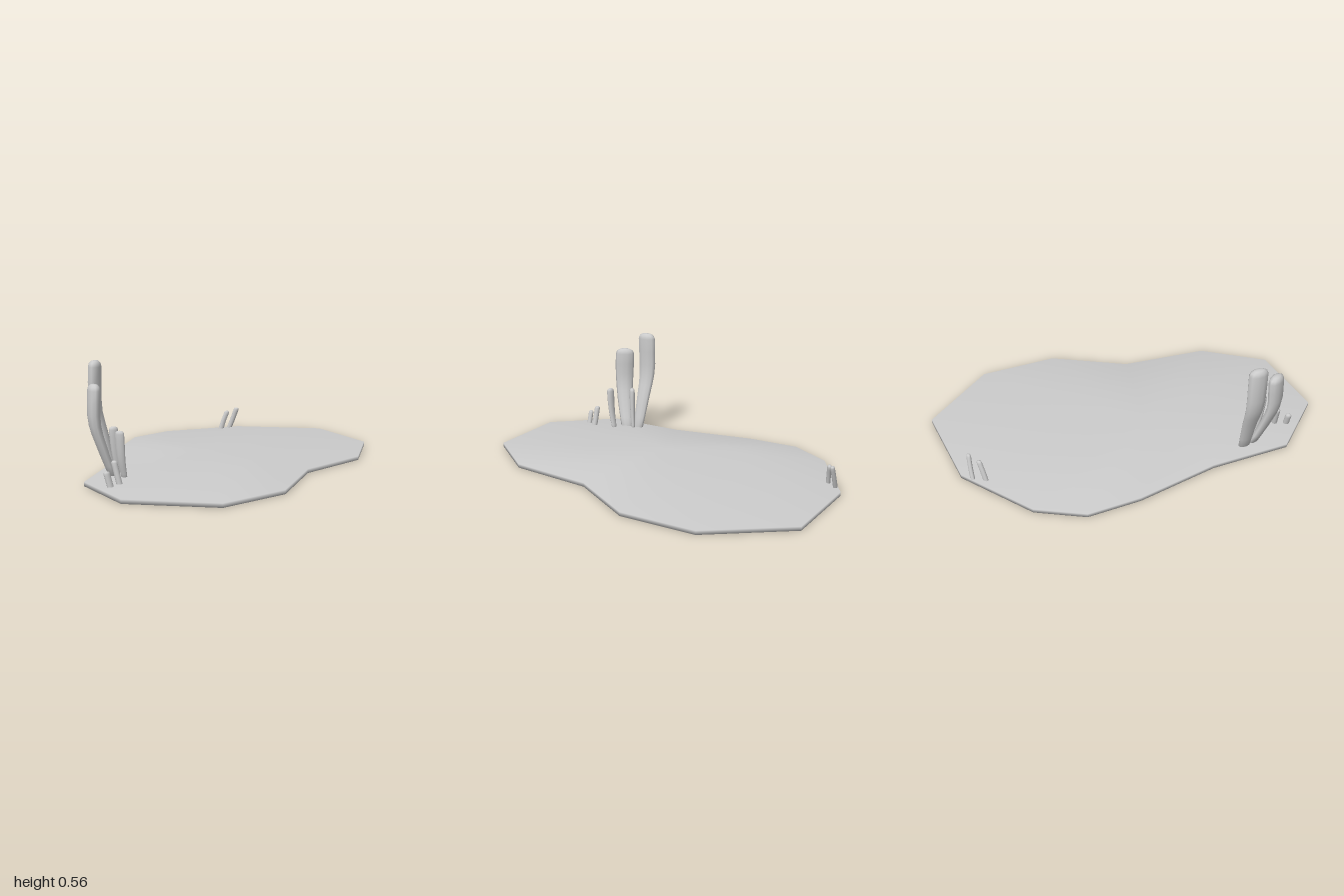
import * as THREE from 'three';

const material = new THREE.MeshStandardMaterial({ color: 0xcccccc, side: THREE.DoubleSide });

// Joins equal-sized closed rings of points, capped by a point at each end, into a smooth skin.
function skin(rings, bottom, top) {
  const n = rings[0].length;
  const points = [...rings.flat(), bottom, top];
  const b = points.length - 2, t = points.length - 1, last = (rings.length - 1) * n;
  const index = [];
  for (let i = 0; i < n; i++) {
    const j = (i + 1) % n;
    index.push(b, i, j, t, last + j, last + i);
    for (let r = 0; r < last; r += n) {
      index.push(r + i, r + n + i, r + j, r + j, r + n + i, r + n + j);
    }
  }
  const geometry = new THREE.BufferGeometry().setFromPoints(points);
  geometry.setIndex(index);
  geometry.computeVertexNormals();
  return geometry;
}

// Low mound with an irregular outline
function createMound() {
  const outline = [
    [1, 0], [0.78, 0.415], [0.41, 0.58], [-0.01, 0.535], [-0.44, 0.68], [-0.8, 0.6], [-1, 0.21],
    [-0.85, -0.145], [-0.47, -0.32], [-0.11, -0.57], [0.14, -0.69], [0.4, -0.665], [0.78, -0.43],
  ];
  const cx = -0.12;
  const ring = (scale, height) => outline.map(([x, z]) => {
    const dx = x - cx;
    const side = z * z / (dx * dx + z * z);
    return new THREE.Vector3(cx + dx * scale, height(side), z * scale);
  });
  const rings = [
    ring(0.5, () => 0),
    ring(1, () => 0),
    ring(1, () => 0.02),
    ring(0.5, (side) => 0.037 + 0.015 * side),
  ];
  const mesh = new THREE.Mesh(
    skin(rings, new THREE.Vector3(cx, 0, 0), new THREE.Vector3(cx, 0.07, 0)), material);
  mesh.name = 'mound';
  return mesh;
}

// Bent stalk: flattened sections follow a path, widen upward and close with a blunt tip
function createStalk({ name, path, width, depth, angle, baseScale = 0.65 }) {
  const curve = new THREE.CatmullRomCurve3(path.map((p) => new THREE.Vector3(...p)));
  const sides = 10, tip = Math.min(0.03, width * 0.35);
  const end = path[path.length - 1];
  const section = (c, s) => Array.from({ length: sides }, (_, i) => {
    const a = i / sides * Math.PI * 2;
    const u = Math.cos(a) * width / 2 * s, v = Math.sin(a) * depth / 2 * s;
    return new THREE.Vector3(
      c.x + u * Math.cos(angle) - v * Math.sin(angle), c.y,
      c.z + u * Math.sin(angle) + v * Math.cos(angle));
  });
  const steps = 8, rings = [];
  for (let k = 0; k <= steps; k++) {
    const t = k / steps;
    const c = curve.getPoint(t);
    // The path ends at the tip, so squeeze its height to leave room for the cap
    c.y = path[0][1] + (c.y - path[0][1]) * (1 - tip / (end[1] - path[0][1]));
    rings.push(section(c, baseScale + (1 - baseScale) * Math.min(1, t * 1.25)));
  }
  const top = new THREE.Vector3(...end);
  rings.push(section(top.clone().setY(end[1] - tip * 0.4), 0.85));
  rings.push(section(top.clone().setY(end[1] - tip * 0.08), 0.5));
  const mesh = new THREE.Mesh(skin(rings, new THREE.Vector3(...path[0]), top), material);
  mesh.name = name;
  return mesh;
}

export function createModel() {
  const model = new THREE.Group();
  model.name = 'moundWithStalks';
  model.add(createMound());

  const stalks = [
    // Main cluster
    { name: 'tallStalk', width: 0.105, depth: 0.06, angle: -0.45, baseScale: 0.6,
      path: [[-0.63, 0.02, -0.16], [-0.643, 0.2, -0.205], [-0.658, 0.35, -0.243], [-0.66, 0.555, -0.243]] },
    { name: 'mediumStalk', width: 0.105, depth: 0.06, angle: -0.92, baseScale: 0.65,
      path: [[-0.68, 0.02, -0.12], [-0.732, 0.17, -0.138], [-0.763, 0.3, -0.155], [-0.76, 0.46, -0.158]] },
    { name: 'shortStalkInner', width: 0.046, depth: 0.03, angle: 0.5,
      path: [[-0.628, 0.02, -0.127], [-0.643, 0.12, -0.133], [-0.653, 0.25, -0.138]] },
    { name: 'shortStalkOuter', width: 0.046, depth: 0.03, angle: 1.3,
      path: [[-0.69, 0.02, -0.04], [-0.712, 0.12, -0.038], [-0.724, 0.25, -0.037]] },
    // Sprouts at the right edge
    { name: 'rightSproutLow', width: 0.032, depth: 0.026, angle: 0.2, baseScale: 1,
      path: [[-0.86, 0.01, 0.03], [-0.868, 0.092, 0.012]] },
    { name: 'rightSproutHigh', width: 0.028, depth: 0.03, angle: 0.2, baseScale: 1,
      path: [[-0.8, 0.01, 0.03], [-0.808, 0.13, 0.003]] },
    // Sprouts at the left edge
    { name: 'leftSproutLow', width: 0.032, depth: 0.022, angle: 0.6, baseScale: 1,
      path: [[0.65, 0.01, -0.465], [0.664, 0.07, -0.455], [0.68, 0.125, -0.443]] },
    { name: 'leftSproutHigh', width: 0.03, depth: 0.022, angle: 1, baseScale: 1,
      path: [[0.717, 0.01, -0.455], [0.727, 0.07, -0.435], [0.735, 0.14, -0.413]] },
  ];
  stalks.forEach((stalk) => model.add(createStalk(stalk)));
  return model;
}
